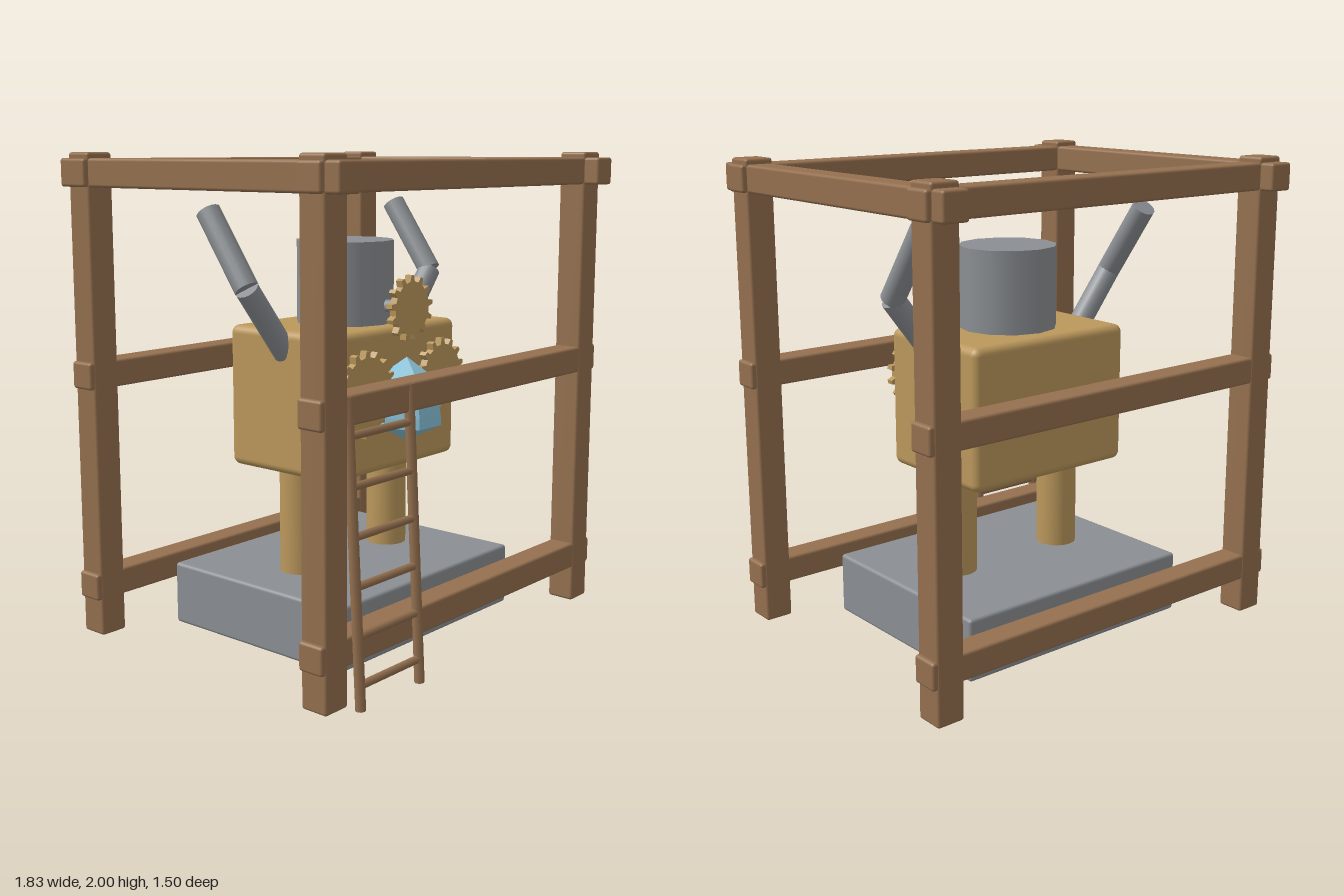
import * as THREE from 'three';
import { RoundedBoxGeometry } from 'three/addons/geometries/RoundedBoxGeometry.js';

const mat = (name, color, extra = {}) => {
  const m = new THREE.MeshStandardMaterial({ color, ...extra });
  m.name = name;
  return m;
};

export function createModel() {
  const wood = mat('brown wood', 0x94704f);
  const brass = mat('tan brass', 0xbb985c);
  const steel = mat('grey steel', 0x8b8f93);
  const glass = mat('blue crystal', 0x8ac3da, { flatShading: true });

  const model = new THREE.Group();
  model.name = 'robotInScaffold';

  const group = (name) => {
    const g = new THREE.Group();
    g.name = name;
    model.add(g);
    return g;
  };
  const add = (parent, name, geometry, material, x = 0, y = 0, z = 0) => {
    const m = new THREE.Mesh(geometry, material);
    m.name = name;
    m.position.set(x, y, z);
    parent.add(m);
    return m;
  };
  const box = (parent, name, material, size, pos, r) =>
    add(parent, name, new RoundedBoxGeometry(...size, 3, r), material, ...pos);
  // Cylinder running between two points
  const rod = (parent, name, material, a, b, r, sides = 16) => {
    const p = new THREE.Vector3(...a), q = new THREE.Vector3(...b);
    const d = q.clone().sub(p);
    const m = add(parent, name, new THREE.CylinderGeometry(r, r, d.length(), sides), material);
    m.position.copy(p).add(q).multiplyScalar(0.5);
    m.quaternion.setFromUnitVectors(new THREE.Vector3(0, 1, 0), d.normalize());
    return m;
  };

  // Scaffold: posts, rails at three heights front and back, top rails on the sides
  const scaffold = group('scaffold');
  for (const x of [-0.833, 0.833]) {
    for (const z of [-0.625, 0.622]) {
      box(scaffold, 'post', wood, [0.122, 1.995, 0.122], [x, 1.0025, z], 0.012);
    }
    box(scaffold, 'sideRail', wood, [0.114, 0.114, 1.494], [x, 1.92, 0], 0.012);
  }
  for (const y of [0.215, 1.105, 1.92]) {
    for (const z of [-0.625, 0.622]) {
      box(scaffold, 'crossRail', wood, [1.826, 0.112, 0.115], [0, y, z], 0.012);
    }
  }

  // Ladder leaning on the front of the scaffold
  const ladder = group('ladder');
  const leanZ = (y) => 0.73 - 0.056 * y;
  for (const x of [-0.757, -0.408]) {
    rod(ladder, 'ladderRail', wood, [x, 0.001, leanZ(0)], [x, 1.155, leanZ(1.155)], 0.02, 8);
  }
  for (let i = 0; i < 6; i++) {
    const y = 0.095 + i * 0.1835;
    rod(ladder, 'rung', wood, [-0.757, y, leanZ(y)], [-0.408, y, leanZ(y)], 0.016, 8);
  }

  // Plinth and robot body
  box(model, 'plinth', steel, [1.146, 0.265, 0.926], [0, 0.1375, -0.003], 0.015);
  const robot = group('robot');
  box(robot, 'torso', brass, [0.804, 0.595, 0.577], [0, 0.9975, -0.003], 0.035);
  add(robot, 'head', new THREE.CylinderGeometry(0.208, 0.208, 0.39, 12), steel, 0, 1.445, 0);

  // Legs and raised arms
  for (const s of [-1, 1]) {
    add(robot, 'leg', new THREE.CylinderGeometry(0.088, 0.088, 0.5, 20), brass, s * 0.283, 0.49, 0);
    const elbow = [s * 0.585, 1.475, 0];
    rod(robot, 'lowerArm', steel, [s * 0.37, 1.2, 0], elbow, 0.049);
    rod(robot, 'upperArm', steel, elbow, [s * 0.585, 1.77, -0.21], 0.05);
  }

  // Toothed gears on shafts
  const gearGeometry = (r, teeth) => {
    const shape = new THREE.Shape();
    const root = r - 0.026;
    const steps = [[-0.27, root], [-0.13, r], [0.13, r], [0.27, root]];
    for (let i = 0; i < teeth; i++) {
      for (const [f, rad] of steps) {
        const a = ((i + f) / teeth) * Math.PI * 2 + Math.PI / 2;
        const px = Math.cos(a) * rad, py = Math.sin(a) * rad;
        if (i === 0 && f === steps[0][0]) shape.moveTo(px, py);
        else shape.lineTo(px, py);
      }
    }
    shape.closePath();
    return new THREE.ExtrudeGeometry(shape, { depth: 0.032, bevelEnabled: false });
  };
  const gears = group('gears');
  for (const [x, y, r, teeth, back] of [
    [0.032, 1.372, 0.135, 13, 0.15],
    [-0.25, 1.048, 0.178, 16, 0.25],
    [0.243, 1.08, 0.147, 14, 0.25],
  ]) {
    add(gears, 'gear', gearGeometry(r, teeth), brass, x, y, 0.305);
    rod(gears, 'gearShaft', steel, [x, y, back], [x, y, 0.31], 0.026);
  }

  // Six-sided crystal on the chest
  const profile = [[0, 0.825], [0.145, 0.895], [0.142, 0.94], [0.117, 1.09], [0, 1.175]]
    .map(([r, y]) => new THREE.Vector2(r, y));
  const crystal = new THREE.LatheGeometry(profile, 6);
  crystal.rotateY(Math.PI / 6);
  add(robot, 'chestCrystal', crystal, glass, 0, 0, 0.335);

  return model;
}
